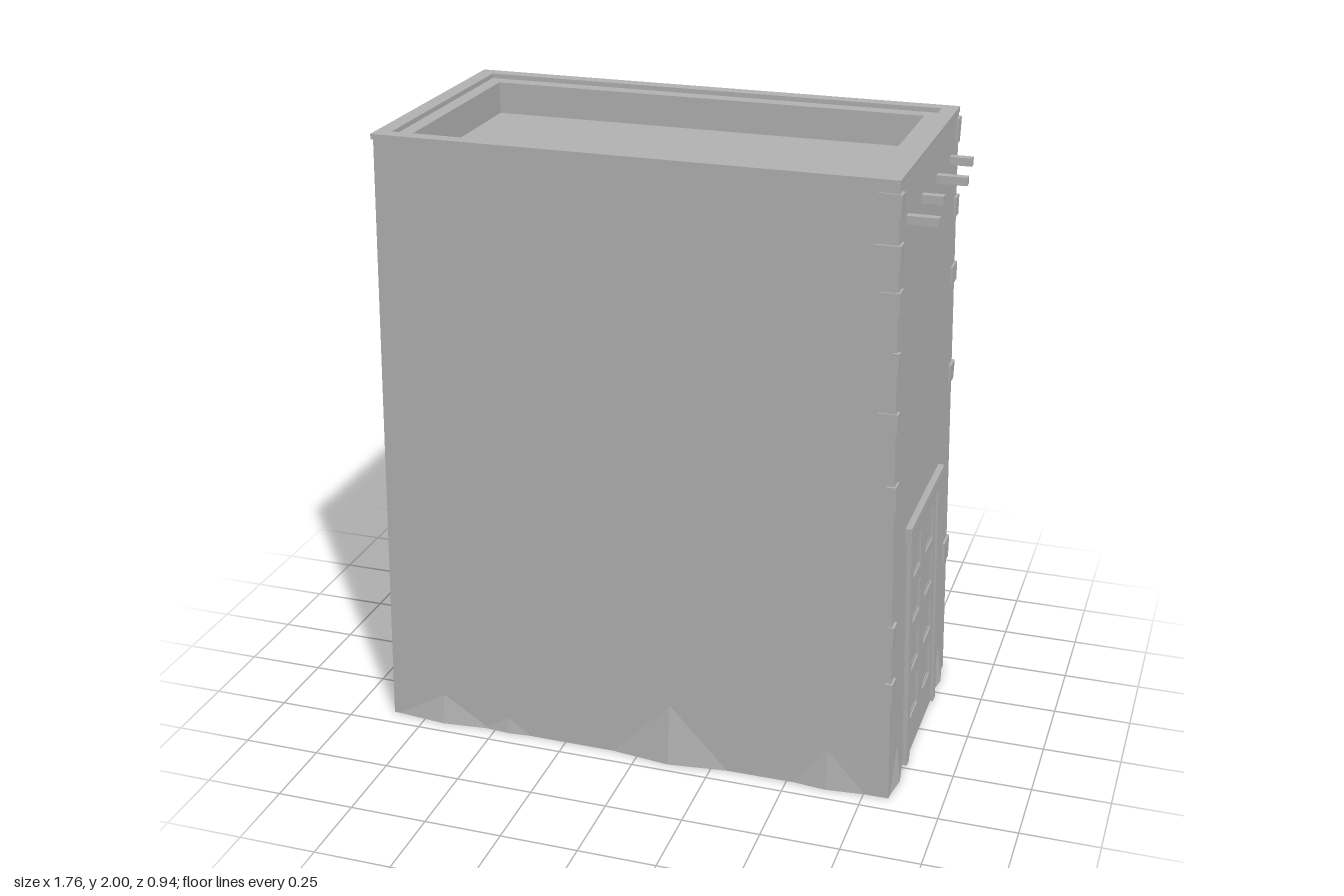
import * as THREE from 'three';

const wallGrey = new THREE.MeshStandardMaterial({ color: 0xb3b3b3, side: THREE.DoubleSide });
wallGrey.name = 'plaster grey';

// Walls lean slightly inwards towards the top
const rightX = y => 0.831 - 0.0245 * y;
const leftX = y => -0.866 + 0.022 * y;
const sideZ = y => 0.438 - 0.003 * y;

function add(parent, name, geometry, x = 0, y = 0, z = 0) {
  const mesh = new THREE.Mesh(geometry, wallGrey);
  mesh.name = name;
  mesh.position.set(x, y, z);
  parent.add(mesh);
  return mesh;
}

// Box given by its limits
function block(parent, name, x0, x1, y0, y1, z0, z1) {
  return add(parent, name, new THREE.BoxGeometry(x1 - x0, y1 - y0, z1 - z0),
    (x0 + x1) / 2, (y0 + y1) / 2, (z0 + z1) / 2);
}

function rectPath(path, x0, x1, y0, y1) {
  path.moveTo(x0, y0);
  path.lineTo(x1, y0);
  path.lineTo(x1, y1);
  path.lineTo(x0, y1);
  path.closePath();
  return path;
}

// Horizontal rectangular ring; limits are [x0, x1, half depth]
function ring(parent, name, outer, inner, y0, y1) {
  const shape = rectPath(new THREE.Shape(), outer[0], outer[1], -outer[2], outer[2]);
  shape.holes.push(rectPath(new THREE.Path(), inner[0], inner[1], -inner[2], inner[2]));
  const geometry = new THREE.ExtrudeGeometry(shape, { depth: y1 - y0, bevelEnabled: false });
  geometry.rotateX(-Math.PI / 2);
  return add(parent, name, geometry, 0, y0, 0);
}

// Wall sheet: at(u, y) gives the point, u running left to right seen from outside
function wall(parent, name, at) {
  const geometry = new THREE.PlaneGeometry(1, 1.99, 16, 16);
  const p = geometry.attributes.position;
  for (let i = 0; i < p.count; i++) {
    p.setXYZ(i, ...at(p.getX(i) + 0.5, p.getY(i) + 0.995));
  }
  geometry.computeVertexNormals();
  add(parent, name, geometry);
}

// Rubble heap against a wall: a two-sided pointed flare at the foot
function heap(parent, side, centre, halfWidth, height, out) {
  const place = (along, y, o) => {
    if (side === 'front') return [along, y, sideZ(y) + o];
    if (side === 'back') return [along, y, -sideZ(y) - o];
    if (side === 'right') return [rightX(y) + o, y, along];
    return [leftX(y) - o, y, along];
  };
  const a = place(centre - halfWidth, 0, 0), b = place(centre + halfWidth, 0, 0);
  const top = place(centre, height, 0.001), foot = place(centre, 0, out);
  const flip = side === 'back' || side === 'right';
  const faces = flip ? [foot, a, top, b, foot, top] : [a, foot, top, foot, b, top];
  const geometry = new THREE.BufferGeometry();
  geometry.setAttribute('position', new THREE.Float32BufferAttribute(faces.flat(), 3));
  geometry.computeVertexNormals();
  add(parent, side + 'Heap', geometry);
}

function makeDoor() {
  const door = new THREE.Group();
  door.name = 'door';
  // Leaf with eight square openings, drawn in z and y, extruded along x
  const leaf = rectPath(new THREE.Shape(), -0.2, 0.19, 0.005, 0.805);
  const rows = [[0.13, 0.25], [0.305, 0.42], [0.475, 0.59], [0.635, 0.755]];
  const columns = [[-0.165, -0.045], [0.03, 0.15]];
  for (const [y0, y1] of rows) {
    for (const [z0, z1] of columns) {
      leaf.holes.push(rectPath(new THREE.Path(), z0, z1, y0, y1));
      // Stepped moulding inside each opening
      const edge = rectPath(new THREE.Shape(), z0, z1, y0, y1);
      edge.holes.push(rectPath(new THREE.Path(), z0 + 0.009, z1 - 0.009, y0 + 0.009, y1 - 0.009));
      const moulding = new THREE.ExtrudeGeometry(edge, { depth: 0.005, bevelEnabled: false });
      add(door, 'panelMoulding', moulding.rotateY(Math.PI / 2));
    }
  }
  const leafGeometry = new THREE.ExtrudeGeometry(leaf, { depth: 0.01, bevelEnabled: false });
  add(door, 'doorLeaf', leafGeometry.rotateY(Math.PI / 2));
  // Frame
  block(door, 'frontPost', -0.01, 0.018, 0, 0.805, 0.198, 0.235);
  block(door, 'backPost', -0.01, 0.018, 0, 0.805, -0.225, -0.186);
  block(door, 'lintel', -0.01, 0.024, 0.805, 0.855, -0.247, 0.262);
  // Follow the lean of the wall
  door.position.x = rightX(0) - 0.003;
  door.rotation.z = 0.0245;
  return door;
}

export function createModel() {
  const model = new THREE.Group();
  model.name = 'tower house';

  // Four walls, open at the bottom, with a faint bulge on the long sides
  const bulge = (u, y) => 0.004 * Math.sin(Math.PI * u) * Math.sin(y * 3 + u * 2) * Math.min(1, 2 - y);
  const mix = (a, b, t) => a + (b - a) * t;
  wall(model, 'frontWall', (u, y) => [mix(leftX(y), rightX(y), u), y, sideZ(y) + bulge(u, y)]);
  wall(model, 'backWall', (u, y) => [mix(rightX(y), leftX(y), u), y, -sideZ(y) - bulge(u, y)]);
  wall(model, 'rightWall', (u, y) => [rightX(y), y, mix(sideZ(y), -sideZ(y), u)]);
  wall(model, 'leftWall', (u, y) => [leftX(y), y, mix(-sideZ(y), sideZ(y), u)]);

  // Parapet, inner ledge and sunken roof
  ring(model, 'parapetRim', [-0.829, 0.785, 0.436], [-0.78, 0.735, 0.39], 1.983, 2);
  ring(model, 'parapetLedge', [-0.8, 0.755, 0.41], [-0.735, 0.69, 0.34], 1.88, 1.985);
  block(model, 'roof', -0.8, 0.755, 1.87, 1.882, -0.41, 0.41);

  // Worn corner stones: [bottom, top, length along x, length along z]
  const frontStones = [[1.89, 1.96, 0.07, 0.04], [1.735, 1.81, 0.08, 0.05], [1.6, 1.67, 0.06, 0.05],
    [1.42, 1.49, 0.02, 0.02], [1.24, 1.3, 0.06, 0.03], [0.99, 1.07, 0.03, 0.045],
    [0.54, 0.605, 0.02, 0.045], [0.34, 0.41, 0.025, 0.05]];
  const backStones = [[1.89, 1.97, 0.06, 0.04], [1.65, 1.715, 0.05, 0.05], [1.43, 1.49, 0.07, 0.07],
    [1.085, 1.15, 0.06, 0.06], [0.43, 0.51, 0.07, 0.08]];
  for (const [stones, s] of [[frontStones, 1], [backStones, -1]]) {
    stones.forEach(([y0, y1, lx, lz], i) => {
      const x = rightX((y0 + y1) / 2) + 0.007, z = sideZ(y0) + 0.005 + 0.003 * (i % 2);
      const stone = block(model, 'cornerStone', x - lx, x, y0, y1, Math.min(s * z, s * (z - lz)),
        Math.max(s * z, s * (z - lz)));
      stone.rotation.z = 0.03 * (i % 3 - 1);
    });
  }

  // Roof beam ends
  for (const [z, end] of [[0.33, 0.88], [0.115, 0.85], [-0.1, 0.88], [-0.315, 0.855]]) {
    block(model, 'beamEnd', 0.74, end, 1.846, 1.872, z - 0.013, z + 0.013);
  }

  model.add(makeDoor());

  // Rubble at the foot: [side, centre, half width, height, reach]
  const heaps = [
    ['front', -0.68, 0.17, 0.1, 0.017], ['front', 0.11, 0.22, 0.23, 0.027], ['front', 0.63, 0.13, 0.14, 0.013],
    ['front', -0.45, 0.1, 0.06, 0.008],
    ['back', -0.52, 0.2, 0.1, 0.036], ['back', 0.08, 0.08, 0.09, 0.026],
    ['back', 0.3, 0.15, 0.14, 0.018], ['back', 0.65, 0.1, 0.12, 0.018],
    ['right', 0.33, 0.09, 0.13, 0.013], ['right', -0.33, 0.08, 0.14, 0.013],
    ['left', 0.32, 0.11, 0.17, 0.016], ['left', 0, 0.15, 0.12, 0.016], ['left', -0.33, 0.1, 0.17, 0.014],
  ];
  for (const h of heaps) heap(model, ...h);
  return model;
}
